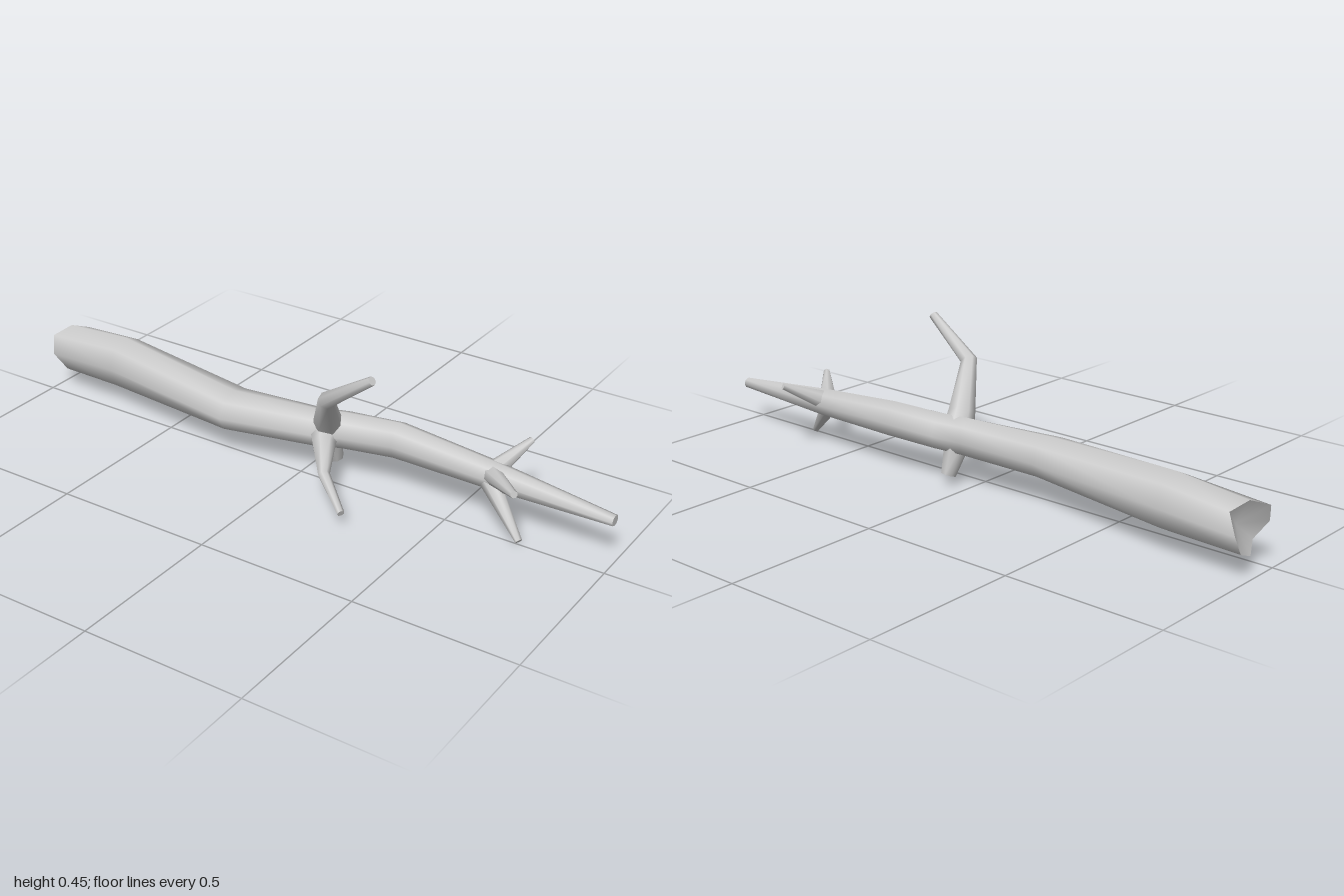
import * as THREE from 'three';

const material = new THREE.MeshStandardMaterial({ color: 0xcccccc });

// Lofts rings along stations [x, y, z, ru, rv]; smooth sides, separate flat caps.
// startShift moves each vertex of the first ring along x (broken end).
function limb(name, stations, sides, ref, startShift, startCentre) {
  const centres = stations.map((s) => new THREE.Vector3(s[0], s[1], s[2]));
  const last = centres.length - 1;
  const rings = stations.map((s, i) => {
    const c = centres[i];
    const before = i > 0 ? c.clone().sub(centres[i - 1]).normalize() : new THREE.Vector3();
    const after = i < last ? centres[i + 1].clone().sub(c).normalize() : new THREE.Vector3();
    const t = before.add(after).normalize();
    const u = ref.clone().addScaledVector(t, -ref.dot(t)).normalize();
    const v = t.clone().cross(u);
    const ring = [];
    for (let j = 0; j < sides; j++) {
      const a = (j / sides) * Math.PI * 2;
      const p = c.clone()
        .addScaledVector(u, Math.cos(a) * s[3])
        .addScaledVector(v, Math.sin(a) * (s[4] ?? s[3]));
      if (i === 0 && startShift) p.x = startShift[j];
      ring.push(p);
    }
    return ring;
  });

  const points = rings.flat();
  const index = [];
  for (let i = 0; i < last; i++) {
    for (let j = 0; j < sides; j++) {
      const k = (j + 1) % sides;
      const a = i * sides + j, b = i * sides + k;
      index.push(a, b, b + sides, a, b + sides, a + sides);
    }
  }
  const cap = (ring, centre, flip) => {
    const first = points.length;
    points.push(...ring, centre);
    for (let j = 0; j < sides; j++) {
      const a = first + j, b = first + ((j + 1) % sides);
      index.push(first + sides, flip ? b : a, flip ? a : b);
    }
  };
  cap(rings[0], startCentre ?? centres[0], true);
  cap(rings[last], centres[last], false);

  const geometry = new THREE.BufferGeometry().setFromPoints(points);
  geometry.setIndex(index);
  geometry.computeVertexNormals();
  const mesh = new THREE.Mesh(geometry, material);
  mesh.name = name;
  return mesh;
}

export function createModel() {
  const group = new THREE.Group();
  group.name = 'fallenBranch';
  const up = new THREE.Vector3(0, 1, 0);
  const along = new THREE.Vector3(1, 0, 0);

  // Main stem with a jagged, hollowed broken end
  group.add(limb('mainStem', [
    [-0.98, 0.13, -0.08, 0.077, 0.08],
    [-0.73, 0.14, -0.07, 0.088, 0.077],
    [-0.25, 0.138, -0.007, 0.063, 0.083],
    [0.03, 0.145, -0.042, 0.06, 0.062],
    [0.12, 0.15, -0.065, 0.058, 0.06],
    [0.29, 0.157, -0.087, 0.058, 0.053],
    [0.6, 0.145, -0.08, 0.045, 0.042],
    [0.99, 0.131, -0.067, 0.017, 0.018],
  ], 8, up,
  [-0.97, -1, -0.985, -0.95, -0.98, -0.985, -0.98, -0.945],
  new THREE.Vector3(-0.93, 0.13, -0.08)));

  // Side branches and twigs: [x, y, z, radius] from root to tip
  const branches = {
    upperBranch: [[0.07, 0.15, -0.05, 0.05], [0.088, 0.2, -0.01, 0.042],
      [0.155, 0.33, 0.1, 0.026], [0.315, 0.443, 0.115, 0.014]],
    frontBranch: [[0.06, 0.14, -0.04, 0.05], [0.095, 0.13, 0.02, 0.036],
      [0.165, 0.1, 0.125, 0.018], [0.275, 0.047, 0.205, 0.011]],
    lowerStub: [[0.06, 0.14, -0.055, 0.042], [0.07, 0.03, -0.09, 0.023]],
    backTwig: [[0.6, 0.15, -0.08, 0.032], [0.66, 0.217, -0.21, 0.01]],
    frontTwig: [[0.6, 0.15, -0.075, 0.03], [0.74, 0.19, 0.055, 0.011]],
    lowerTwig: [[0.59, 0.14, -0.075, 0.032], [0.737, 0.008, -0.003, 0.011]],
  };
  for (const [name, stations] of Object.entries(branches)) {
    group.add(limb(name, stations, 7, along));
  }
  return group;
}
